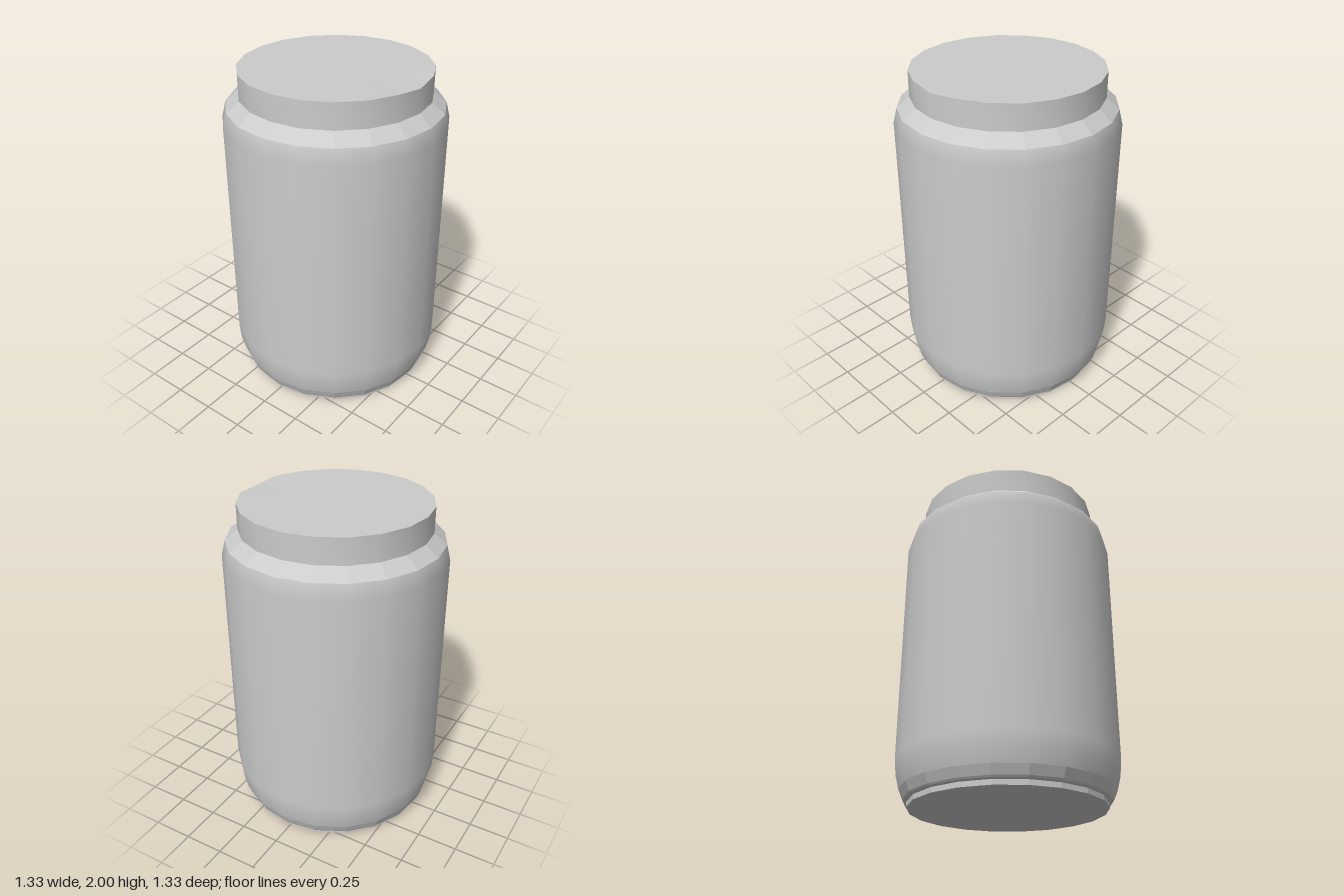
import * as THREE from 'three';
import { toCreasedNormals } from 'three/addons/utils/BufferGeometryUtils.js';

const SIDES = 20;

// Revolve [radius, height] pairs, listed from bottom to top
function ring(name, profile, flat = false) {
  const points = profile.map(([r, y]) => new THREE.Vector2(r, y));
  const material = new THREE.MeshStandardMaterial({ color: 0xcccccc, flatShading: flat });
  const mesh = new THREE.Mesh(new THREE.LatheGeometry(points, SIDES), material);
  mesh.name = name;
  return mesh;
}

export function createModel() {
  const jar = new THREE.Group();
  jar.name = 'jar';

  // Foot: short recessed base with a closed underside
  const foot = ring('foot', [[0, 0], [0.585, 0], [0.585, 0.03], [0.605, 0.035]], true);

  // Lower bevel, smooth body wall and shoulder
  const lowerBevel = ring('lowerBevel', [[0.605, 0.035], [0.612, 0.045], [0.635, 0.1]], true);
  const body = ring('body', [
    [0.635, 0.1], [0.655, 0.18], [0.665, 0.28], [0.665, 1.69], [0.642, 1.78],
  ]);
  const shoulder = ring('shoulder', [[0.642, 1.78], [0.565, 1.845]], true);

  // Lid: straight side and flat top, with one slightly dented rim corner at +x
  const lid = ring('lid', [[0.565, 1.845], [0.565, 2], [0, 2]]);
  const position = lid.geometry.attributes.position;
  for (let i = 0; i < position.count; i++) {
    if (position.getX(i) > 0.56 && position.getY(i) > 1.9) {
      position.setXYZ(i, 0.56, 1.985, position.getZ(i));
    }
  }
  lid.geometry = toCreasedNormals(lid.geometry, Math.PI / 6);

  jar.add(foot, lowerBevel, body, shoulder, lid);
  return jar;
}
